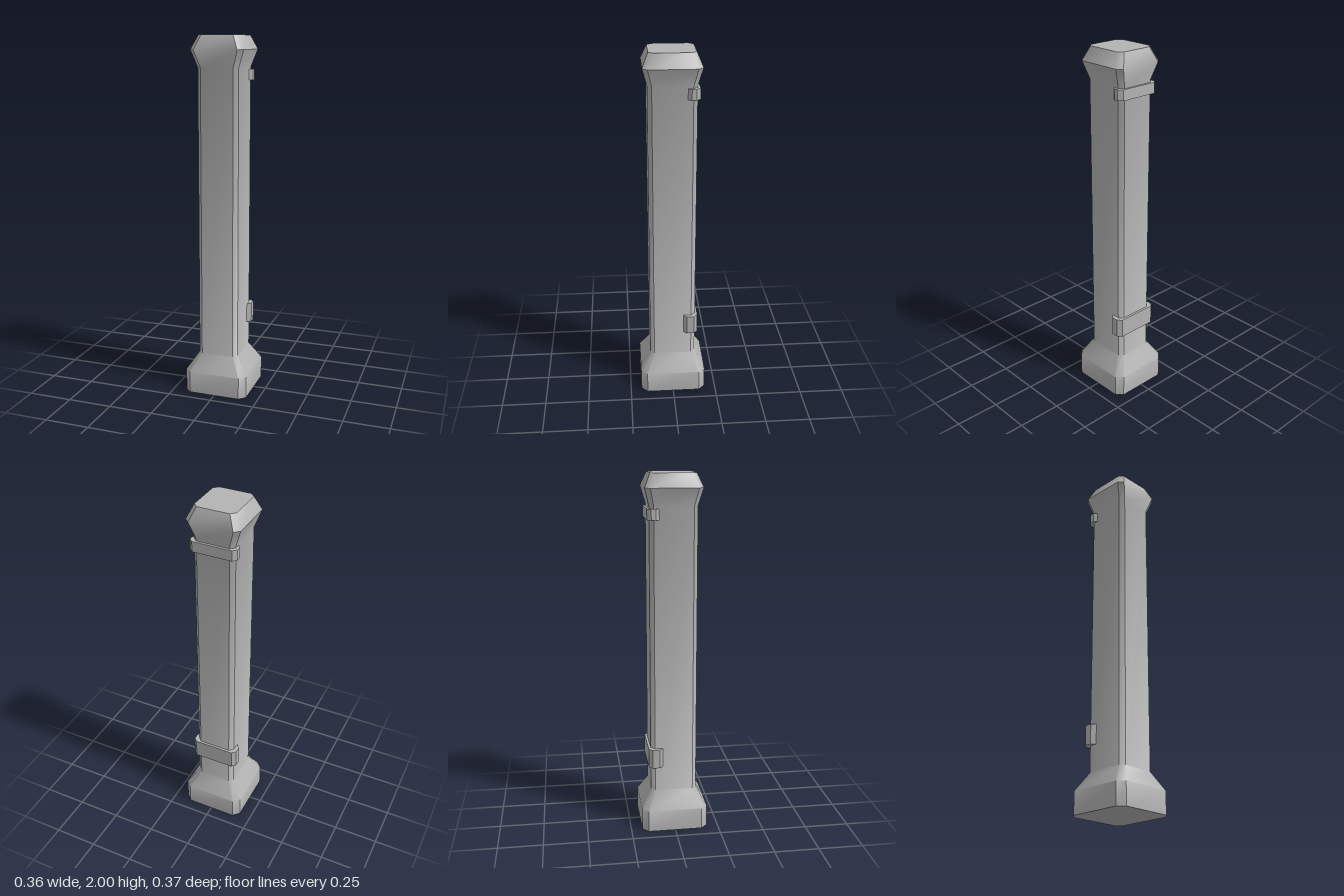
import * as THREE from 'three';
import { toCreasedNormals } from 'three/addons/utils/BufferGeometryUtils.js';

const stone = new THREE.MeshStandardMaterial({ color: 0xb4b4b4 });
stone.name = 'grey stone';

// Rectangle with cut corners, counter-clockwise seen from above
function ring({ y, x, z, cut }) {
  return [
    [x, z - cut], [x, cut - z], [x - cut, -z], [cut - x, -z],
    [-x, cut - z], [-x, z - cut], [cut - x, z], [x - cut, z],
  ].map(([px, pz]) => [px, y, pz]);
}

// Closed solid skinned over a stack of cut-corner rings
function loft(sections) {
  const rings = sections.map(ring);
  const points = [];
  const tri = (...corners) => corners.forEach((p) => points.push(...p));
  for (let r = 0; r < rings.length - 1; r++) {
    for (let i = 0; i < 8; i++) {
      const j = (i + 1) % 8;
      const low = rings[r], high = rings[r + 1];
      tri(low[i], low[j], high[j]);
      tri(low[i], high[j], high[i]);
    }
  }
  const bottom = rings[0], top = rings[rings.length - 1];
  for (let i = 1; i < 7; i++) {
    tri(bottom[0], bottom[i + 1], bottom[i]);
    tri(top[0], top[i], top[i + 1]);
  }
  const geometry = new THREE.BufferGeometry();
  geometry.setAttribute('position', new THREE.Float32BufferAttribute(points, 3));
  return toCreasedNormals(geometry, THREE.MathUtils.degToRad(40));
}

// Strap around the back of the shaft, with bevelled front ends and back corners
function strap(name, y, height, halfWidth, front) {
  const half = [[0.112, -front], [halfWidth, -front - 0.021], [halfWidth, -0.122], [halfWidth - 0.021, -0.143]];
  const outline = [...half, ...half.map(([x, z]) => [-x, z]).reverse()];
  const shape = new THREE.Shape(outline.map(([x, z]) => new THREE.Vector2(x, -z)));
  const geometry = new THREE.ExtrudeGeometry(shape, { depth: height, bevelEnabled: false });
  geometry.rotateX(-Math.PI / 2);
  const mesh = new THREE.Mesh(geometry, stone);
  mesh.name = name;
  mesh.position.y = y;
  return mesh;
}

export function createModel() {
  const model = new THREE.Group();
  model.name = 'pillar';

  // Plinth, flare, shaft and capital in one continuous skin
  const column = new THREE.Mesh(loft([
    { y: 0, x: 0.18, z: 0.187, cut: 0.035 },
    { y: 0.125, x: 0.18, z: 0.187, cut: 0.035 },
    { y: 0.225, x: 0.114, z: 0.13, cut: 0.023 },
    { y: 1.83, x: 0.114, z: 0.13, cut: 0.023 },
    { y: 1.925, x: 0.148, z: 0.155, cut: 0.027 },
    { y: 2, x: 0.113, z: 0.123, cut: 0.025 },
  ]), stone);
  column.name = 'column';
  model.add(column);

  // Back straps
  model.add(strap('lowerStrap', 0.37, 0.11, 0.136, 0.061));
  model.add(strap('upperStrap', 1.76, 0.058, 0.13, 0.076));
  return model;
}
